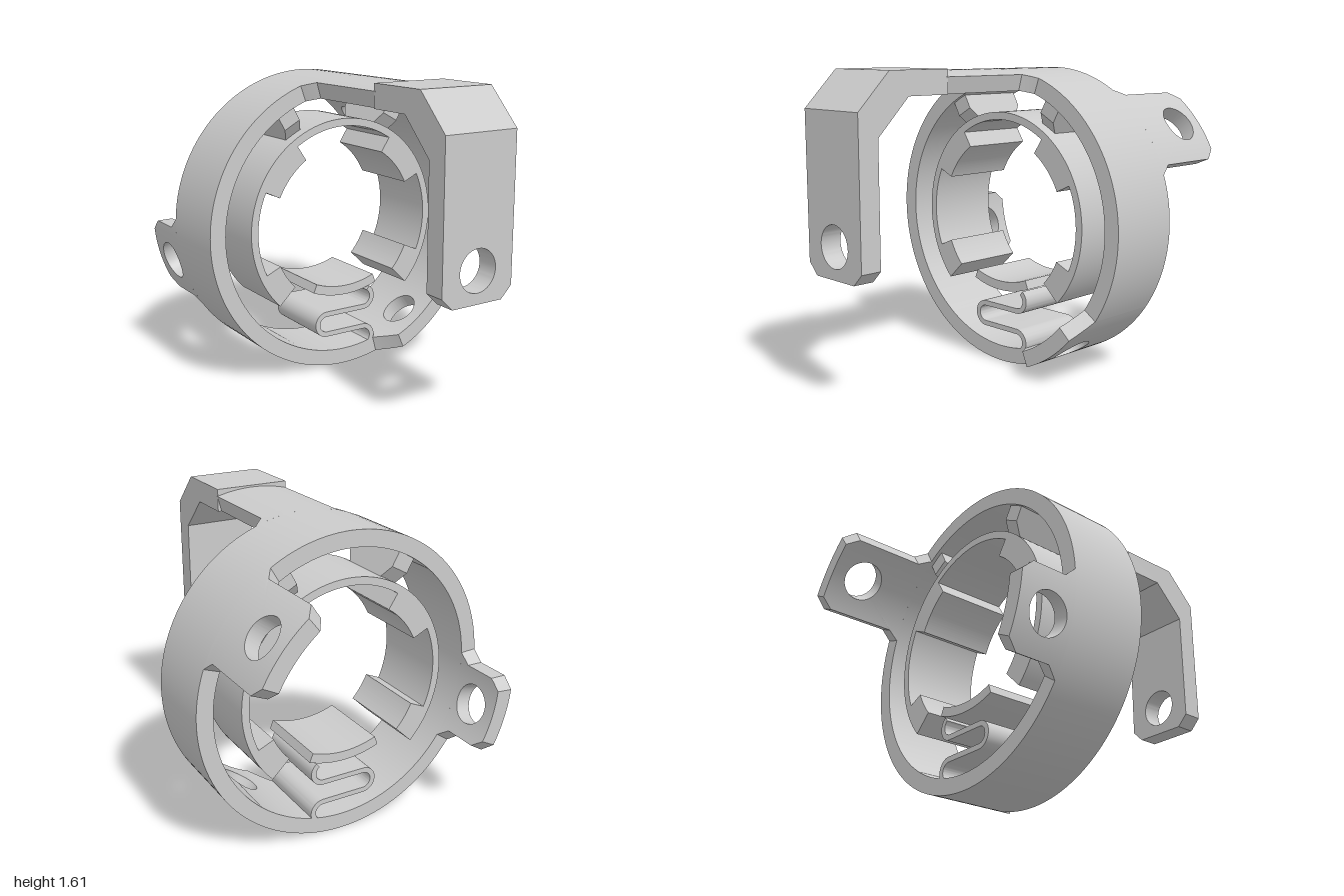
import * as THREE from 'three';
import { toCreasedNormals } from 'three/addons/utils/BufferGeometryUtils.js';

const CY = 0.81, R_OUT = 0.8, R_IN = 0.715, BACK = -0.51, FRONT = -0.09;
const rad = THREE.MathUtils.degToRad;
const material = new THREE.MeshStandardMaterial({ color: 0xcccccc, side: THREE.DoubleSide });

export function createModel() {
  const group = new THREE.Group();

  const add = (name, geometry) => {
    const mesh = new THREE.Mesh(toCreasedNormals(geometry, 0.5), material);
    mesh.name = name;
    group.add(mesh);
    return mesh;
  };

  const extrude = (shape, z0, z1, curveSegments = 64) => {
    const g = new THREE.ExtrudeGeometry(shape, { depth: z1 - z0, bevelEnabled: false, curveSegments });
    return g.translate(0, 0, z0);
  };

  // Part of a ring between two angles, extruded along z
  const sector = (r0, r1, a0, a1, cy = CY) => {
    const s = new THREE.Shape();
    s.absarc(0, cy, r1, rad(a0), rad(a1), false);
    s.absarc(0, cy, r0, rad(a1), rad(a0), true);
    s.closePath();
    return extrude(s, BACK, FRONT);
  };

  // Plate bent to the ring wall: outline as [degrees, z] counterclockwise, with a round hole
  const bentPlate = (outline, [ca, cz], holeRadius) => {
    const edge = [];
    outline.forEach(([a, z], i) => {
      const [b, w] = outline[(i + 1) % outline.length];
      const n = Math.max(2, Math.ceil(Math.hypot(rad(b - a) * R_OUT, w - z) / 0.025));
      for (let k = 0; k < n; k++) edge.push([rad(a + (b - a) * k / n), z + (w - z) * k / n]);
    });
    const M = 8, N = edge.length, rows = 2 * (M + 1), pos = [], index = [];
    for (let i = 0; i < rows; i++) {
      const outer = i <= M;
      const t = (outer ? i : rows - 1 - i) / M, r = outer ? R_OUT : R_IN;
      for (const [a, z] of edge) {
        const dir = Math.atan2(z - cz, (a - rad(ca)) * R_OUT);
        const ha = rad(ca) + holeRadius * Math.cos(dir) / r;
        const hz = cz + holeRadius * Math.sin(dir);
        const ang = ha + (a - ha) * t;
        pos.push(r * Math.cos(ang), CY + r * Math.sin(ang), hz + (z - hz) * t);
      }
    }
    for (let i = 0; i < rows; i++) {
      for (let j = 0; j < N; j++) {
        const i2 = (i + 1) % rows, j2 = (j + 1) % N;
        const a = i * N + j, b = i2 * N + j, c = i2 * N + j2, d = i * N + j2;
        index.push(a, b, c, a, c, d);
      }
    }
    const g = new THREE.BufferGeometry();
    g.setAttribute('position', new THREE.Float32BufferAttribute(pos, 3));
    g.setIndex(index);
    return g;
  };

  // Outer ring, with the pierced front tab filling its gap
  add('outerRing', sector(R_IN, R_OUT, -33.5, 285));
  add('frontTab', bentPlate([
    [-75, BACK], [-33.5, BACK], [-33.5, FRONT], [-41.5, 0.03], [-67, 0.03], [-75, FRONT],
  ], [-54.5, -0.15], 0.1));

  // Rear lugs with flared roots and clipped corners
  const lug = (name, a0, a1, tip, holeZ, clip, flare) => add(name, bentPlate([
    [a0 + 4, tip], [a1 - 4, tip], [a1, tip + clip], [a1, -0.57],
    [a1 + flare, BACK], [a0 - flare, BACK], [a0, -0.57], [a0, tip + clip],
  ], [(a0 + a1) / 2, holeZ], 0.105));
  lug('upperRearLug', 23, 55.6, -1, -0.82, 0.06, 3.5);
  lug('sideRearLug', 180.7, 210.8, -0.815, -0.645, 0.06, 4);

  // Curved bridge from the ring to the arm
  add('bridge', bentPlate([
    [70.5, FRONT], [109.5, FRONT], [105, -0.03], [105, 0.48], [75, 0.48], [75, -0.03],
  ], [90, 0], 0));

  // Bent arm: top and chamfer from a side profile, hanging plate with a hole
  const HW = 0.205;
  const bend = new THREE.Shape([
    [0.47, 1.5], [0.71, 1.5], [0.89, 1.32], [1, 1.32], [1, 1.44], [0.82, 1.62], [0.47, 1.62],
  ].map(([z, y]) => new THREE.Vector2(-z, y)));
  add('armBend', extrude(bend, -HW, HW).rotateY(Math.PI / 2));

  const plate = new THREE.Shape([
    [-HW, 1.32], [-HW, 0.71], [-0.145, 0.65], [0.145, 0.65], [HW, 0.71], [HW, 1.32],
  ].map(([x, y]) => new THREE.Vector2(x, y)));
  plate.holes.push(new THREE.Path().absarc(0, CY, 0.105, 0, Math.PI * 2, true));
  add('armPlate', extrude(plate, 0.89, 1, 32));

  // Inner ring, open at the bottom, with gripping pads
  add('innerRing', sector(0.53, 0.57, -44, 224));
  for (const [name, a0, a1] of [['upperPad', 25, 57], ['lowerPad', -44, -24]]) {
    add(name + 'Left', sector(0.44, 0.535, a0, a1));
    add(name + 'Right', sector(0.44, 0.535, 180 - a1, 180 - a0));
  }

  // Struts joining the two rings, tapered toward the inner one
  const strut = new THREE.Shape([
    [0.555, -0.13], [0.635, -0.19], [0.73, -0.19], [0.73, 0.19], [0.635, 0.19], [0.555, 0.13],
  ].map(([r, z]) => new THREE.Vector2(r, z)));
  for (const [name, a] of [['strutLeft', 61], ['strutRight', 119]]) {
    const g = extrude(strut, -0.05, 0.05).rotateX(Math.PI / 2).rotateZ(rad(a));
    add(name, g.translate(0, CY, -0.3));
  }

  // Sprung bottom clip
  add('springClip', sector(0.5, 0.55, 248.5, 291.5, 0.96));

  // Serpentine spring: centre line offset to both sides
  const line = [];
  const turn = (cx, cy, a0, a1) => {
    for (let i = 0; i <= 20; i++) {
      const a = rad(a0 + (a1 - a0) * i / 20);
      line.push(new THREE.Vector2(cx + 0.0575 * Math.cos(a), cy + 0.0575 * Math.sin(a)));
    }
  };
  turn(0.12, 0.3715, 55, -90);
  turn(-0.12, 0.2565, 90, 270);
  turn(0.12, 0.1415, 90, -50);
  const offset = (d) => line.map((p, i) => {
    const t = line[Math.min(i + 1, line.length - 1)].clone().sub(line[Math.max(i - 1, 0)]).normalize();
    return new THREE.Vector2(p.x - t.y * d, p.y + t.x * d);
  });
  const strip = new THREE.Shape([...offset(0.014), ...offset(-0.014).reverse()]);
  add('serpentineSpring', extrude(strip, BACK, FRONT));

  return group;
}
